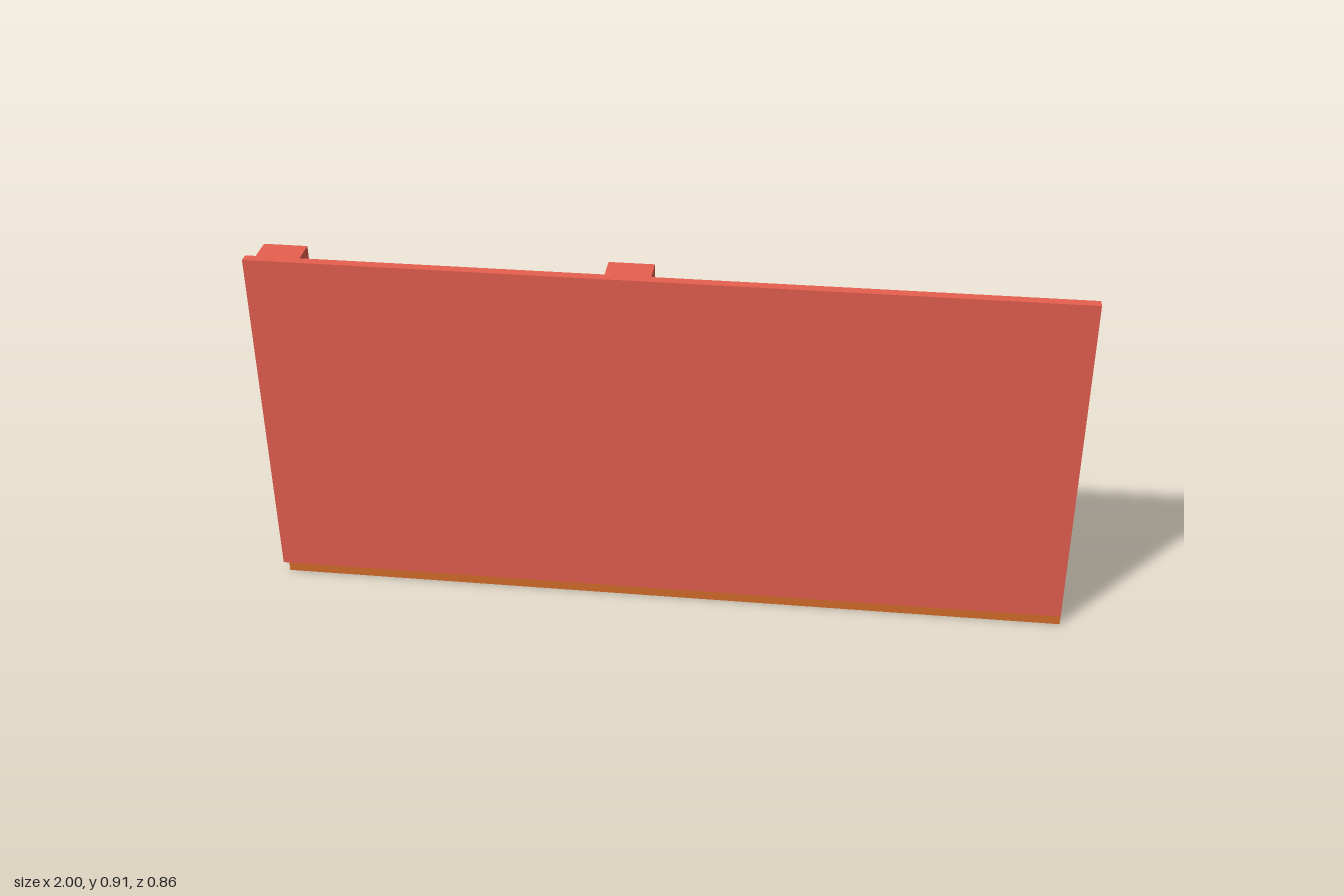
import * as THREE from 'three';

const mat = (name, color) => {
  const m = new THREE.MeshStandardMaterial({ color });
  m.name = name;
  return m;
};

export function createModel() {
  const red = mat('brick red', 0xe55f4f);
  const wood = mat('floor orange', 0xd86d2b);
  const groove = mat('groove brown', 0x8a481c);
  const tan = mat('trim tan', 0xe39550);
  const lilac = mat('pale lilac', 0xdfb3cb);
  const pink = mat('dusty pink', 0xe8a5ad);
  const purple = mat('soft purple', 0xc09fca);
  const dark = mat('soft black', 0x261c2a);
  const navy = mat('paper navy', 0x2e2250);
  const plum = mat('seam plum', 0x75567f);

  const model = new THREE.Group();
  model.name = 'hallway';
  const group = (name, parent = model) => {
    const g = new THREE.Group();
    g.name = name;
    parent.add(g);
    return g;
  };
  const add = (parent, name, geo, m, x = 0, y = 0, z = 0) => {
    const mesh = new THREE.Mesh(geo, m);
    mesh.name = name;
    mesh.position.set(x, y, z);
    parent.add(mesh);
    return mesh;
  };
  // Box given by its min and max along each axis
  const box = (parent, name, m, x0, x1, y0, y1, z0, z1) =>
    add(parent, name, new THREE.BoxGeometry(x1 - x0, y1 - y0, z1 - z0), m,
      (x0 + x1) / 2, (y0 + y1) / 2, (z0 + z1) / 2);
  const cyl = (parent, name, m, rTop, rBot, y0, y1, x = 0, z = 0, sides = 12) =>
    add(parent, name, new THREE.CylinderGeometry(rTop, rBot, y1 - y0, sides), m, x, (y0 + y1) / 2, z);

  // Floor slab with plank grooves
  const F = 0.024;
  const floor = group('floor');
  box(floor, 'floorSlab', wood, -0.985, 1, 0, F, -0.428, 0.428);
  for (let i = 0; i < 21; i++) {
    const z = -0.416 + i * 0.0405;
    box(floor, 'plankGroove', groove, -0.97, 0.985, F - 0.003, F + 0.0006, z - 0.0045, z + 0.0045);
  }
  for (const x of [-0.97, -0.24, 0.25, 0.495, 0.74, 0.985])
    box(floor, 'plankJoint', groove, x - 0.004, x + 0.004, F - 0.003, F + 0.0008, -0.418, 0.395);
  for (const [x, z] of [[-0.73, -0.36], [-0.73, 0.14], [-0.73, 0.22], [-0.48, 0.22], [0, -0.27], [0, -0.1], [0, -0.03], [0, 0.1]])
    box(floor, 'shortJoint', groove, x - 0.004, x + 0.004, F - 0.003, F + 0.0008, z - 0.02, z + 0.02);

  // Wall with a trim rail and skirting
  const wall = group('wall');
  box(wall, 'wallPanel', red, -1, 1, F, 0.91, 0.404, 0.428);
  box(wall, 'wallRail', tan, -0.98, 0.998, 0.16, 0.182, 0.398, 0.405);
  box(wall, 'wallSkirting', tan, -0.87, -0.14, F, 0.045, 0.398, 0.405);

  // Columns with matching bands
  for (const [x0, x1] of [[-0.975, -0.868], [-0.138, -0.028]]) {
    const column = group('column');
    box(column, 'columnShaft', red, x0, x1, F, 0.909, 0.338, 0.405);
    box(column, 'columnBand', tan, x0 - 0.003, x1 + 0.003, 0.16, 0.182, 0.334, 0.404);
    box(column, 'columnBase', tan, x0 - 0.003, x1 + 0.003, F, 0.045, 0.334, 0.404);
  }

  // Row of low lockers in three tiers
  const lockers = group('lockers');
  box(lockers, 'endFiller', tan, -0.027, 0.02, F, 0.159, 0.37, 0.404);
  const tiers = [[F, 0.09, purple], [0.09, 0.125, pink], [0.125, 0.16, lilac]];
  for (const [y0, y1, m] of tiers) box(lockers, 'lockerTier', m, 0.02, 0.987, y0, y1, 0.367, 0.404);
  for (const y of [0.057, 0.09, 0.125])
    box(lockers, 'tierSeam', plum, 0.022, 0.985, y - 0.001, y + 0.001, 0.3662, 0.368);
  for (let i = 0; i < 12; i++) {
    const x = 0.02 + i * 0.0806, w = i % 2 ? 0.0012 : 0.0028;
    if (i > 0) box(lockers, 'lockerSeam', plum, x - w, x + w, F, 0.159, 0.3657, 0.368);
    for (const y of [0.04, 0.074, 0.108, 0.142])
      for (const dx of [0.022, 0.058])
        box(lockers, 'lockerHandle', plum, x + dx - 0.005, x + dx + 0.005, y - 0.0015, y + 0.0015, 0.3655, 0.368);
  }

  // Notice board with pinned papers
  const board = group('noticeBoard');
  const [bx0, bx1, by0, by1] = [-0.855, -0.515, 0.19, 0.335];
  box(board, 'boardBack', wood, bx0, bx1, by0, by1, 0.399, 0.405);
  for (const y of [by0, by1 - 0.008]) box(board, 'boardFrame', tan, bx0, bx1, y, y + 0.008, 0.393, 0.405);
  for (const x of [bx0, bx1 - 0.008]) box(board, 'boardFrame', tan, x, x + 0.008, by0, by1, 0.393, 0.405);
  const papers = [
    [-0.537, 0.228, 0.018, 0.035, tan], [-0.562, 0.24, 0.018, 0.04, tan],
    [-0.668, 0.284, 0.075, 0.066, navy], [-0.642, 0.226, 0.078, 0.045, navy],
    [-0.73, 0.232, 0.06, 0.04, tan], [-0.79, 0.285, 0.045, 0.055, lilac],
  ];
  for (const [x, y, w, h, m] of papers)
    box(board, 'pinnedPaper', m, x - w / 2, x + w / 2, y - h / 2, y + h / 2, 0.397, 0.4);

  // Fire extinguisher hung on the middle column
  const ext = group('fireExtinguisher');
  ext.position.set(-0.085, 0.309, 0.319);
  const profile = [[0, 0], [0.018, 0], [0.019, 0.004], [0.019, 0.055], [0.016, 0.067], [0.008, 0.075], [0, 0.077]]
    .map(([r, y]) => new THREE.Vector2(r, y));
  add(ext, 'extinguisherBody', new THREE.LatheGeometry(profile, 16), red);
  cyl(ext, 'extinguisherNeck', dark, 0.004, 0.005, 0.074, 0.088);
  box(ext, 'extinguisherHandle', dark, -0.01, 0.02, 0.083, 0.087, -0.003, 0.003);
  box(ext, 'extinguisherLever', red, -0.01, 0.016, 0.087, 0.096, -0.003, 0.003);
  const hose = new THREE.CatmullRomCurve3([[0.004, 0.085, 0], [0.022, 0.084, 0], [0.027, 0.06, 0], [0.026, 0.025, 0]]
    .map((p) => new THREE.Vector3(...p)));
  add(ext, 'extinguisherHose', new THREE.TubeGeometry(hose, 16, 0.0025, 6), dark);
  cyl(ext, 'extinguisherHorn', dark, 0.003, 0.011, 0.01, 0.03, 0.026, 0);

  // Pair of drums with a recessed neck below the lid
  for (const x of [-0.283, -0.2]) {
    const drum = group('drum');
    drum.position.set(x, F, 0.345);
    cyl(drum, 'drumBody', purple, 0.031, 0.031, 0, 0.098, 0, 0, 16);
    cyl(drum, 'drumNeck', plum, 0.026, 0.026, 0.098, 0.11, 0, 0, 16);
    cyl(drum, 'drumLid', lilac, 0.029, 0.031, 0.11, 0.136, 0, 0, 16);
    for (let i = 0; i < 3; i++) {
      const a = i * Math.PI * 2 / 3;
      cyl(drum, 'drumCap', plum, 0.005, 0.005, 0.135, 0.139, 0.015 * Math.cos(a), 0.015 * Math.sin(a), 8);
    }
    cyl(drum, 'drumKnob', purple, 0.006, 0.007, 0.135, 0.15, 0, -0.012, 8);
  }

  // Small canister with a foot plate
  const can = group('canister');
  can.position.set(-0.235, F, 0.298);
  cyl(can, 'canisterBody', purple, 0.01, 0.011, 0, 0.034);
  cyl(can, 'canisterTop', lilac, 0.005, 0.01, 0.034, 0.043);
  box(can, 'footPlate', purple, -0.014, 0.014, 0, 0.01, -0.028, 0.008);

  return model;
}
